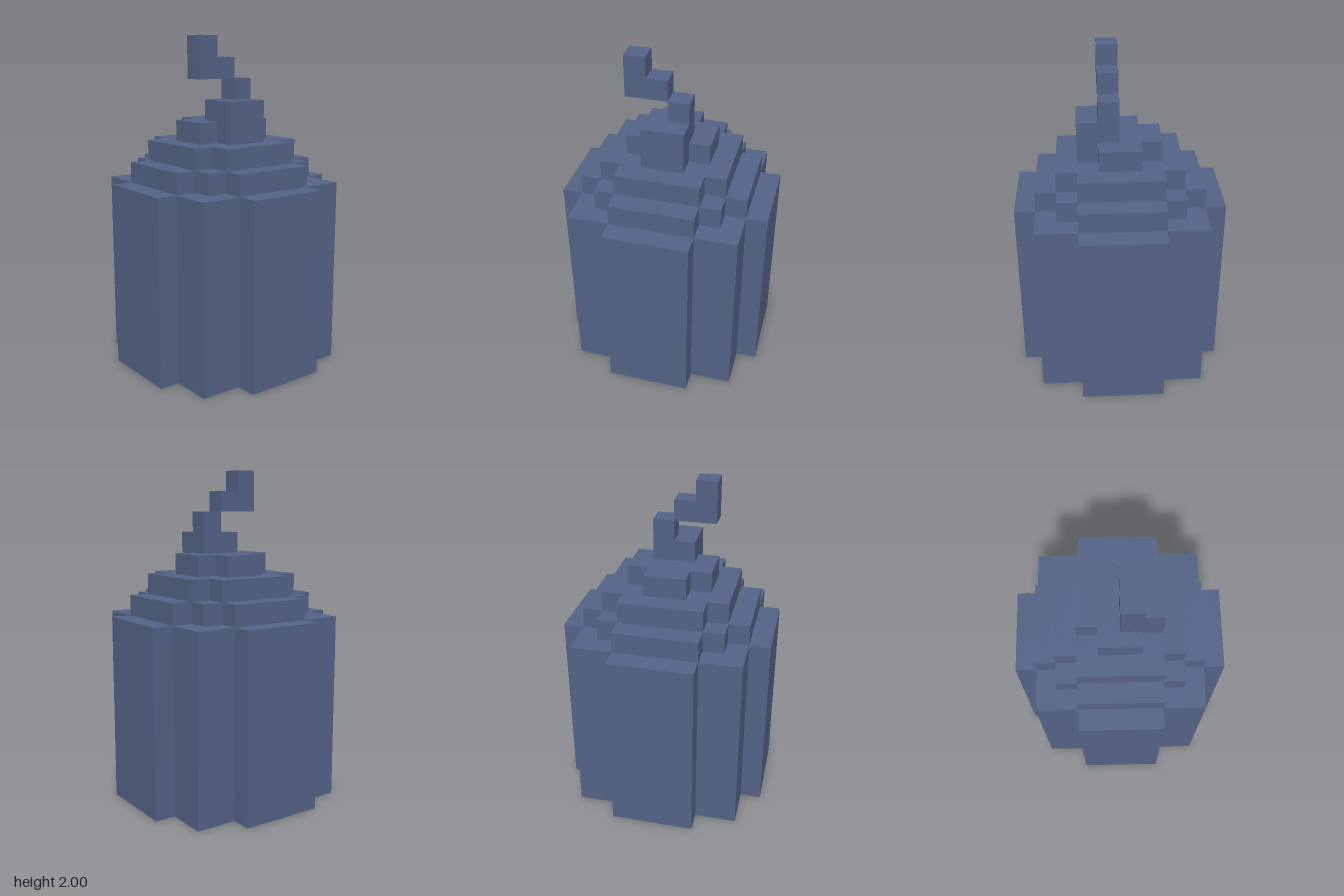
import * as THREE from 'three';

const U = 0.125; // one block

export function createModel() {
  const group = new THREE.Group();
  const slate = new THREE.MeshStandardMaterial({ color: 0x536285 });
  slate.name = 'slate blue';

  const add = (name, geometry) => {
    const mesh = new THREE.Mesh(geometry, slate);
    mesh.name = name;
    group.add(mesh);
  };

  // Extrudes an outline given in blocks
  const extrude = (points, depth) => new THREE.ExtrudeGeometry(
    new THREE.Shape(points.map(([x, y]) => new THREE.Vector2(x * U, y * U))),
    { depth: depth * U, bevelEnabled: false });

  // Stepped round layer: one quarter outline, turned four times
  const layer = (name, quarter, y0, y1) => {
    const outline = [];
    for (let i = 0; i < 4; i++) {
      for (const [x, y] of quarter) {
        outline.push([[x, y], [-y, x], [-x, -y], [y, -x]][i]);
      }
    }
    const g = extrude(outline, y1 - y0);
    g.rotateX(-Math.PI / 2);
    g.translate(0, y0 * U, 0);
    add(name, g);
  };

  // Box from its lowest to its highest corner, in blocks
  const box = (name, a, b) => {
    const g = new THREE.BoxGeometry(...a.map((v, i) => (b[i] - v) * U));
    g.translate(...a.map((v, i) => (v + b[i]) * U / 2));
    add(name, g);
  };

  // Body and stepped crown
  layer('body', [[5, -2], [5, 2], [4, 2], [4, 4], [2, 4]], 0, 9);
  layer('shoulder', [[4, -2], [4, 2], [3, 2], [3, 3], [2, 3]], 9, 10);
  layer('upperShoulder', [[3, -2], [3, 2], [2, 2]], 10, 11);
  layer('cap', [[2, -1], [2, 1], [1, 1]], 11, 12);

  // Curling tip
  box('tipBase', [-1, 12, 0], [1, 13, 2]);
  box('tipStem', [0, 13, 0], [1, 14, 1]);
  add('tipCurl', extrude([[-2, 14], [0, 14], [0, 15], [-1, 15], [-1, 16], [-2, 16]], 1));

  return group;
}
